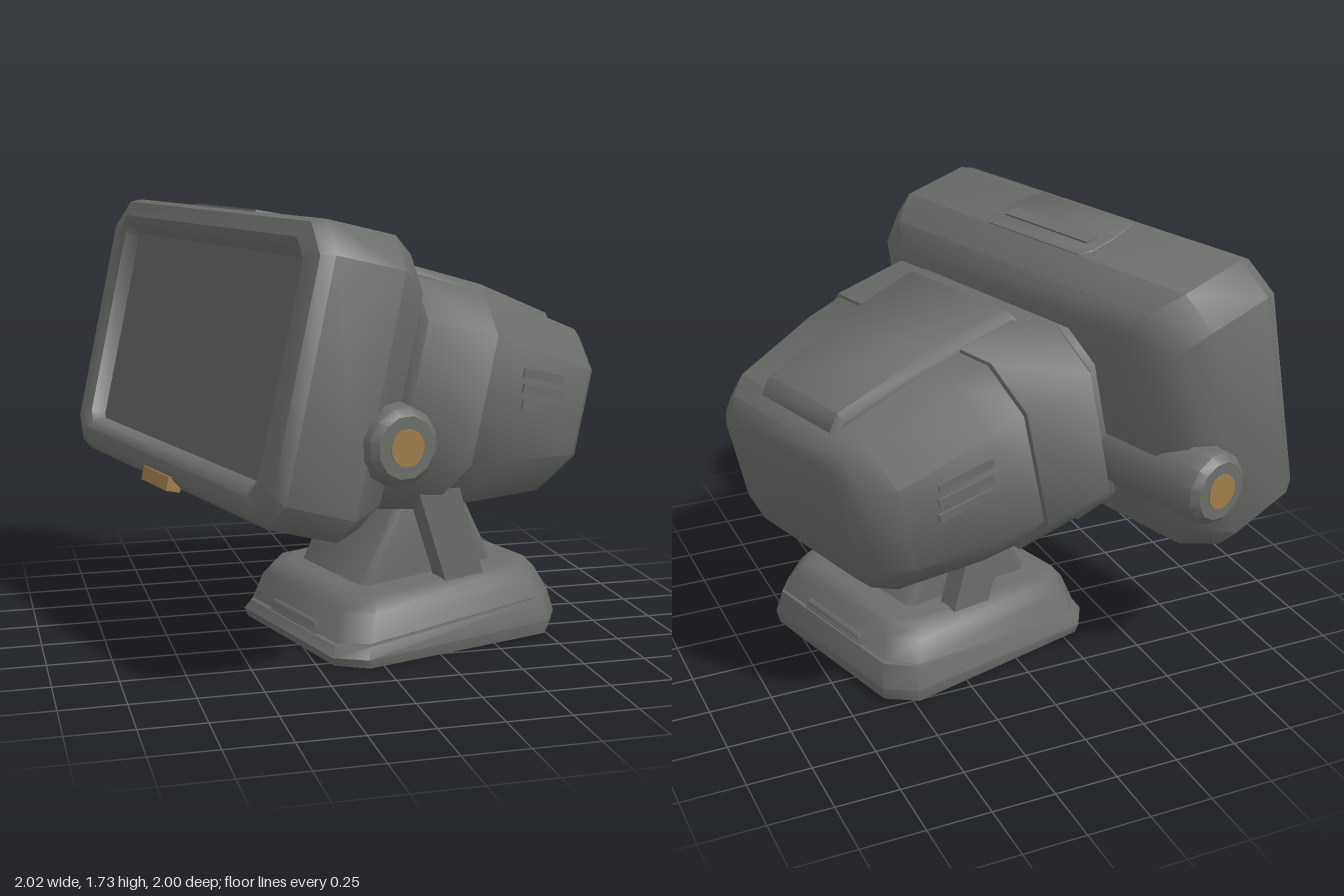
import * as THREE from 'three';
import { toCreasedNormals } from 'three/addons/utils/BufferGeometryUtils.js';

const mat = (name, color) => new THREE.MeshStandardMaterial({ name, color });

// Chamfered rectangle, counter-clockwise in (p, q); c0 and c1 are the corner cuts at the p0 and p1 sides
function octagon(p0, p1, q0, q1, c0, c1) {
  return [[p1, q0 + c1], [p1, q1 - c1], [p1 - c1, q1], [p0 + c0, q1],
    [p0, q1 - c0], [p0, q0 + c0], [p0 + c0, q0], [p1 - c1, q0]];
}

// Skin over a row of rings, with flat ends
function loft(rings, capStart = true, capEnd = true) {
  const n = rings[0].length, pos = rings.flat(2), idx = [];
  for (let i = 0; i < rings.length - 1; i++) {
    for (let j = 0; j < n; j++) {
      const k = (j + 1) % n, a = i * n, b = a + n;
      idx.push(a + j, a + k, b + k, a + j, b + k, b + j);
    }
  }
  const last = (rings.length - 1) * n;
  for (let j = 1; j < n - 1; j++) {
    if (capStart) idx.push(0, j + 1, j);
    if (capEnd) idx.push(last, last + j, last + j + 1);
  }
  const g = new THREE.BufferGeometry();
  g.setAttribute('position', new THREE.Float32BufferAttribute(pos, 3));
  g.setIndex(idx);
  return toCreasedNormals(g, 0.8);
}

// Sections along x: [x, bottom, top, half width, bottom cut, top cut]
const loftX = (rows, zc = 0, ...caps) => loft(rows.map(([x, y0, y1, hz, c0, c1]) =>
  octagon(y0, y1, zc - hz, zc + hz, c0, c1).map(([y, z]) => [x, y, z])), ...caps);

// Sections along y: [y, half x, half z, cut, slope toward +x]
const loftY = (rows) => loft(rows.map(([y, hx, hz, c, slope = 0]) =>
  octagon(-hz, hz, -hx, hx, c, c).map(([z, x]) => [x, y + slope * x, z])));

export function createModel() {
  const body = mat('bodyGrey', 0x6a6d6a);
  const dark = mat('screenGrey', 0x636464);
  const amber = mat('amber', 0x9e7c48);

  const model = new THREE.Group();
  const add = (parent, name, geo, material, x = 0, y = 0, z = 0) => {
    const m = new THREE.Mesh(geo, material);
    m.name = name;
    m.position.set(x, y, z);
    parent.add(m);
    return m;
  };

  // Head: local x points to the back, z along the screen width
  const head = new THREE.Group();
  head.name = 'head';
  head.position.set(-0.42, 1.14, 0.04);
  head.rotation.set(0, 0.27, -0.23);
  model.add(head);

  // Screen case, starting inside the recess and going round the bezel to the back
  add(head, 'screenCase', loftX([
    [-0.2, -0.41, 0.395, 0.77, 0.02, 0.02],
    [-0.26, -0.43, 0.43, 0.79, 0.04, 0.04],
    [-0.28, -0.46, 0.46, 0.84, 0.07, 0.08],
    [-0.26, -0.52, 0.52, 0.91, 0.09, 0.11],
    [-0.21, -0.555, 0.54, 0.93, 0.1, 0.12],
    [0.08, -0.575, 0.54, 0.93, 0.1, 0.12],
    [0.21, -0.535, 0.49, 0.86, 0.12, 0.13],
    [0.28, -0.44, 0.41, 0.76, 0.12, 0.12],
  ], -0.015, false, true), body);
  add(head, 'screen', new THREE.BoxGeometry(0.008, 0.805, 1.54), dark, -0.2, -0.0075, -0.015);

  // Stepped panel on the top of the case
  add(head, 'topPanel', loftX([
    [-0.215, 0.5, 0.546, 0.27, 0.005, 0.005],
    [-0.09, 0.5, 0.552, 0.3, 0.005, 0.005],
    [0.035, 0.5, 0.55, 0.3, 0.005, 0.005],
    [0.08, 0.48, 0.544, 0.27, 0.005, 0.005],
  ]), body);
  add(head, 'topPanelRib', new THREE.BoxGeometry(0.06, 0.012, 0.48), body, -0.02, 0.552, 0);

  add(head, 'indicatorTab', new THREE.BoxGeometry(0.06, 0.055, 0.24), amber, -0.245, -0.54, -0.02);

  // Barrel through the lower back with a cap at both ends
  const profile = [[0, -0.99], [0.115, -0.99], [0.142, -0.965], [0.15, -0.91],
    [0.15, 0.91], [0.142, 0.965], [0.115, 0.99], [0, 0.99]].map(([r, y]) => new THREE.Vector2(r, y));
  const barrel = toCreasedNormals(new THREE.LatheGeometry(profile, 12), 0.7);
  add(head, 'hingeBarrel', barrel.rotateX(Math.PI / 2), body, 0.19, -0.185, -0.015);
  for (const s of [-1, 1]) {
    const disc = new THREE.CylinderGeometry(0.068, 0.068, 0.008, 20).rotateX(Math.PI / 2);
    add(head, 'barrelDisc', disc, amber, 0.19, -0.185, -0.015 + s * 0.992);
  }

  // Neck, front collar and tapering rear housing
  add(head, 'neck', loftX([
    [0.22, -0.49, 0.36, 0.56, 0.14, 0.12],
    [0.38, -0.49, 0.36, 0.56, 0.14, 0.12],
  ], 0.055), body);
  add(head, 'housingCollar', loftX([
    [0.33, -0.46, 0.4, 0.595, 0.2, 0.15],
    [0.36, -0.49, 0.425, 0.632, 0.22, 0.16],
    [0.68, -0.455, 0.425, 0.638, 0.22, 0.16],
    [0.685, -0.445, 0.417, 0.63, 0.22, 0.16],
  ], 0.06), body);
  add(head, 'rearHousing', loftX([
    [0.62, -0.445, 0.417, 0.63, 0.22, 0.16],
    [0.84, -0.42, 0.405, 0.615, 0.22, 0.16],
    [1.22, -0.325, 0.355, 0.55, 0.18, 0.15],
    [1.305, -0.28, 0.325, 0.46, 0.13, 0.12],
    [1.35, -0.215, 0.27, 0.385, 0.08, 0.07],
  ], 0.063), body);
  add(head, 'housingTopPanel', loftX([
    [0.4, 0.35, 0.422, 0.33, 0.02, 0.02],
    [0.44, 0.35, 0.47, 0.32, 0.02, 0.03],
    [0.82, 0.35, 0.457, 0.285, 0.02, 0.03],
    [1.2, 0.3, 0.402, 0.25, 0.02, 0.03],
    [1.25, 0.27, 0.35, 0.24, 0.02, 0.02],
  ], 0.055), body);

  // Three staggered vent slats on each side
  for (const s of [-1, 1]) {
    for (let i = -1; i <= 1; i++) {
      const slat = add(head, 'ventSlat', new THREE.BoxGeometry(0.23, 0.035, 0.045), body,
        0.97 + i * 0.012, 0.085 - i * 0.06, 0.063 + s * 0.58);
      slat.rotation.y = s * 0.17;
    }
  }

  // Stand
  const stand = new THREE.Group();
  stand.name = 'stand';
  stand.position.set(0.21, 0, 0.04);
  stand.rotation.y = 0.27;
  model.add(stand);

  add(stand, 'baseFoot', loftY([
    [0, 0.51, 0.47, 0.1, 0.01],
    [0.045, 0.522, 0.478, 0.1, 0.03],
    [0.112, 0.5, 0.458, 0.1, 0.09],
    [0.116, 0.47, 0.43, 0.1, 0.09],
  ]), body);
  add(stand, 'baseTop', loftY([
    [0.11, 0.47, 0.43, 0.1, 0.09],
    [0.122, 0.495, 0.453, 0.1, 0.09],
    [0.215, 0.46, 0.42, 0.1, 0.06],
    [0.26, 0.425, 0.385, 0.09, 0.06],
    [0.27, 0.38, 0.34, 0.08, 0.06],
  ]), body);
  // Notched lips where the foot rises into the upper base
  for (const s of [-1, 1]) {
    add(stand, 'baseLip', loftY([
      [0.08, 0.05, 0.22, 0.02],
      [0.15, 0.045, 0.2, 0.02],
      [0.165, 0.03, 0.18, 0.02],
    ]), body, s * 0.446, s * 0.04, 0);
  }

  add(stand, 'column', loftY([
    [0.2, 0.345, 0.26, 0.03],
    [0.6, 0.14, 0.26, 0.03],
    [0.68, 0.12, 0.24, 0.03],
  ]), body);

  // Slanted side legs
  const legShape = new THREE.Shape([[-0.005, 0.24], [0.175, 0.24], [0.02, 0.72], [-0.17, 0.72]]
    .map(([x, y]) => new THREE.Vector2(x, y)));
  for (const s of [-1, 1]) {
    const leg = new THREE.ExtrudeGeometry(legShape, { depth: 0.09, bevelEnabled: false });
    add(stand, 'sideLeg', leg, body, 0, 0, s * 0.335 - 0.045);
  }
  return model;
}
